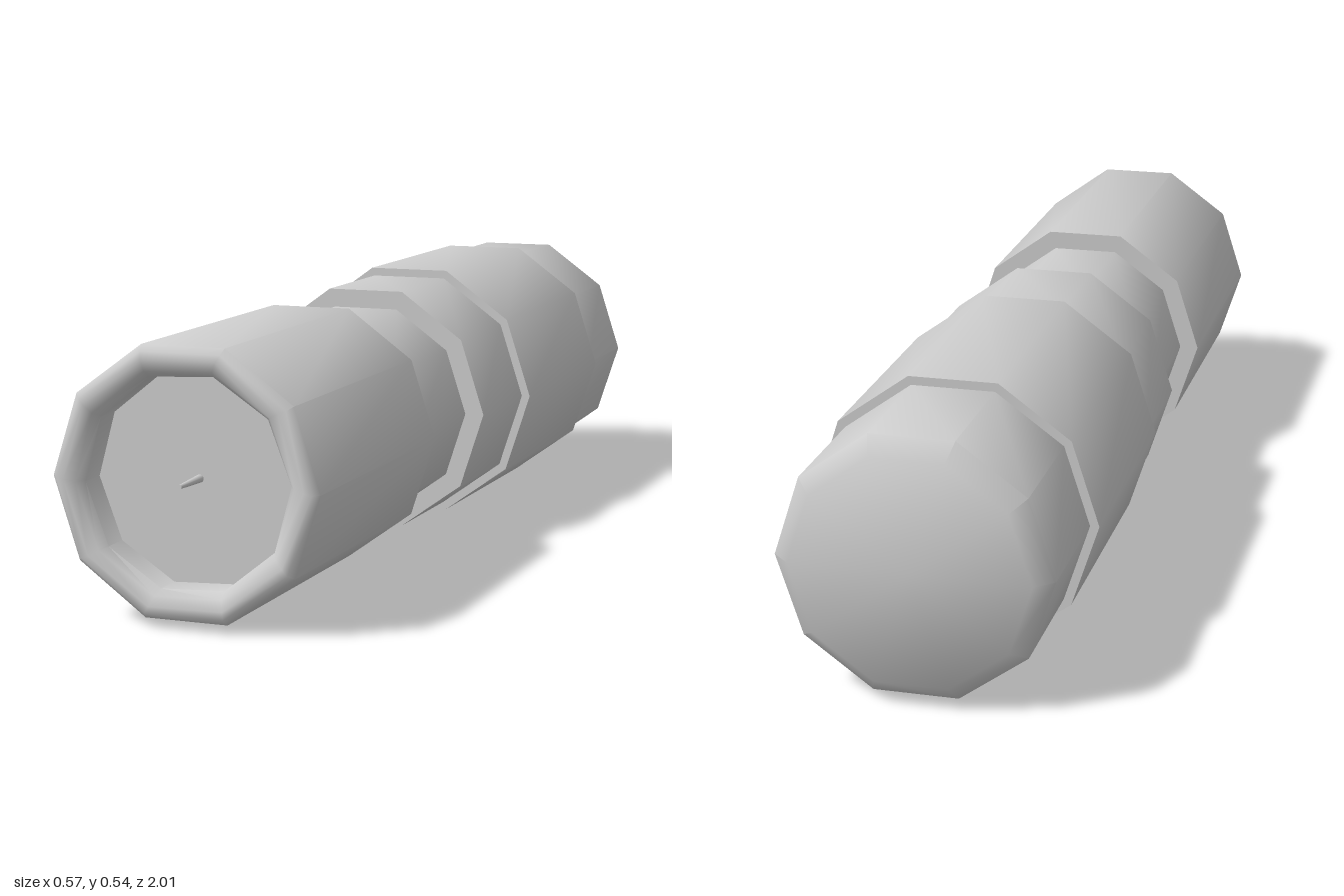
import * as THREE from 'three';
import { toCreasedNormals } from 'three/addons/utils/BufferGeometryUtils.js';

const SIDES = 10;
const CENTRE_Y = 0.27;
const CORE = 0.2; // hidden inner radius where shoulders end

export function createModel() {
  const group = new THREE.Group();
  const material = new THREE.MeshStandardMaterial({ color: 0xcccccc });

  const add = (name, geometry) => {
    const mesh = new THREE.Mesh(geometry, material);
    mesh.name = name;
    mesh.position.y = CENTRE_Y;
    group.add(mesh);
  };

  // Ten-sided turned part along z; profile is [radius, z, twist in degrees] from back to front
  const turned = (name, profile) => {
    const points = profile.map(([r, z]) => new THREE.Vector2(r, z));
    const geometry = new THREE.LatheGeometry(points, SIDES, Math.PI / 2);
    geometry.rotateX(Math.PI / 2);
    const pos = geometry.attributes.position;
    const v = new THREE.Vector3();
    const axis = new THREE.Vector3(0, 0, 1);
    for (let i = 0; i < pos.count; i++) {
      const twist = profile[i % profile.length][2] || 0;
      v.fromBufferAttribute(pos, i).applyAxisAngle(axis, THREE.MathUtils.degToRad(twist));
      pos.setXYZ(i, v.x, v.y, v.z);
    }
    add(name, toCreasedNormals(geometry, 0.8));
  };

  // Plain ring section with flat shoulders
  const section = (name, r, back, front) =>
    turned(name, [[CORE, back], [r, back], [r, front], [CORE, front]]);

  // Bevelled closed end
  turned('endCap', [[0, -1], [0.23, -1], [0.265, -0.967], [0.265, -0.7]]);

  section('gripSleeve', 0.283, -0.7, -0.175);
  section('collar', 0.265, -0.175, 0.09);
  section('neck', 0.225, 0.09, 0.39);

  // Front barrel with rounded rim and recessed floor
  turned('frontBarrel', [
    [CORE, 0.39], [0.265, 0.39], [0.265, 0.985], [0.253, 0.998], [0.238, 1, 1],
    [0.217, 0.993, 2], [0.205, 0.975, 2.6], [0.205, 0.92, 2.6], [0, 0.92],
  ]);

  // Thin pin in the recess
  const pin = new THREE.CylinderGeometry(0.004, 0.008, 0.09, 10);
  pin.rotateX(Math.PI / 2);
  pin.translate(0, 0, 0.96);
  add('centrePin', pin);

  return group;
}
